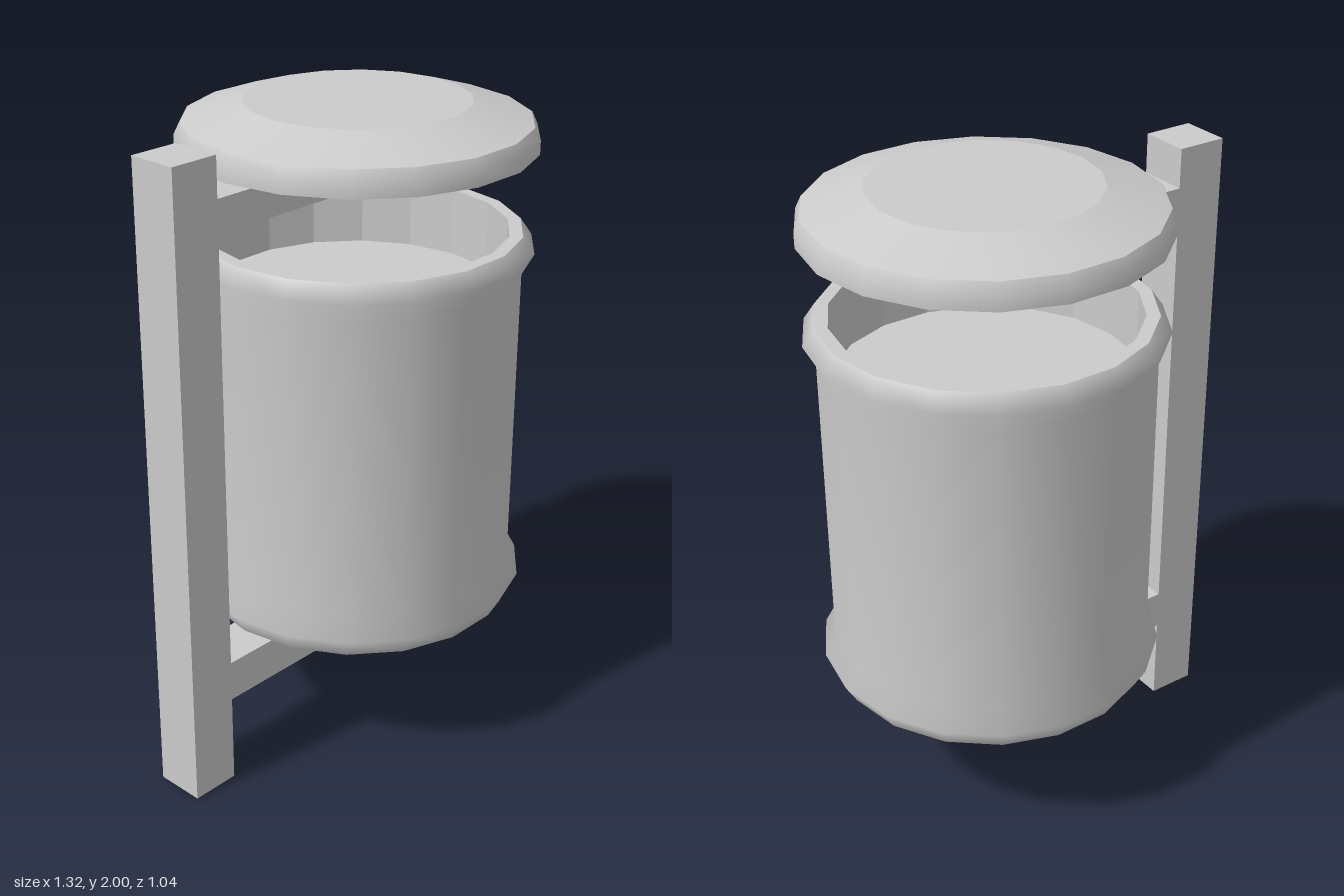
import * as THREE from 'three';

const SIDES = 18;
const BIN_X = 0.125; // axis of the bin and lid

export function createModel() {
  const model = new THREE.Group();
  const smooth = new THREE.MeshStandardMaterial({ color: 0xcccccc, side: THREE.DoubleSide });
  const flat = new THREE.MeshStandardMaterial({ color: 0xcccccc, side: THREE.DoubleSide, flatShading: true });

  // Turned surface from [radius, height] pairs; separate bands keep hard edges
  function turned(parent, name, profile, material = smooth) {
    const points = profile.map(([r, y]) => new THREE.Vector2(r, y));
    const mesh = new THREE.Mesh(new THREE.LatheGeometry(points, SIDES, Math.PI / 2), material);
    mesh.name = name;
    parent.add(mesh);
  }

  // Box given by its x and y limits, centred on z = 0
  function bar(name, x0, x1, y0, y1) {
    const geometry = new THREE.BoxGeometry(x1 - x0, y1 - y0, 0.156);
    geometry.translate((x0 + x1) / 2, (y0 + y1) / 2, 0);
    const mesh = new THREE.Mesh(geometry, flat);
    mesh.name = name;
    model.add(mesh);
    return mesh;
  }

  // Post, open underneath, with two arms
  const post = bar('post', -0.66, -0.505, 0, 1.985);
  const faces = Array.from(post.geometry.index.array);
  faces.splice(18, 6);
  post.geometry.setIndex(faces);
  post.geometry.clearGroups();
  bar('lowerArm', -0.505, 0.09, 0.285, 0.415);
  bar('upperArm', -0.505, 0.09, 1.765, 1.865);

  // Bin with flared bands at both ends and a raised inner floor
  const bin = new THREE.Group();
  bin.name = 'bin';
  bin.position.x = BIN_X;
  model.add(bin);
  turned(bin, 'binBase', [[0, 0.433], [0.495, 0.433]], flat);
  turned(bin, 'binShell', [
    [0.495, 0.433], [0.53, 0.495], [0.495, 0.56],
    [0.495, 1.505], [0.53, 1.57], [0.495, 1.62],
  ]);
  turned(bin, 'binRim', [[0.495, 1.62], [0.455, 1.62]], flat);
  turned(bin, 'binInnerWall', [[0.455, 1.62], [0.455, 1.41]], flat);
  turned(bin, 'binInnerFloor', [[0.455, 1.41], [0, 1.41]], flat);

  // Lid floating above the bin
  const lid = new THREE.Group();
  lid.name = 'lid';
  lid.position.x = BIN_X;
  model.add(lid);
  turned(lid, 'lidUnderside', [[0, 1.868], [0.53, 1.868]], flat);
  turned(lid, 'lidEdge', [[0.53, 1.868], [0.53, 1.91], [0.513, 1.945]]);
  turned(lid, 'lidSlope', [[0.513, 1.945], [0.335, 2]]);
  turned(lid, 'lidTop', [[0.335, 2], [0, 2]], flat);

  return model;
}
